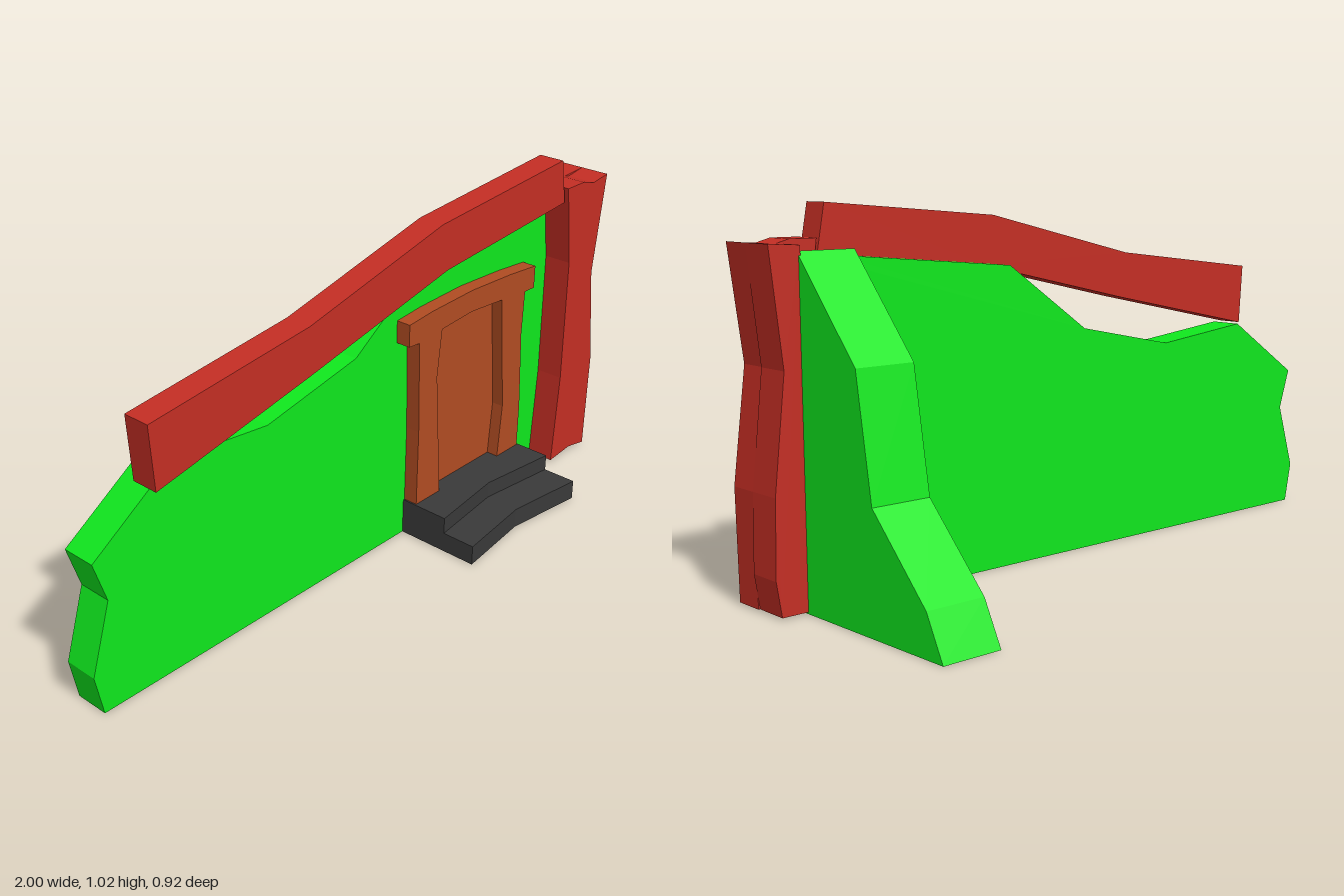
import * as THREE from 'three';

const paint = (color) => new THREE.MeshStandardMaterial({ color, flatShading: true, side: THREE.DoubleSide });

// Flat slab cut from an outline, running from z0 to z1
function slab(name, outline, z0, z1, material, hole) {
  const toPoints = (list) => list.map(([x, y]) => new THREE.Vector2(x, y));
  const shape = new THREE.Shape(toPoints(outline));
  if (hole) shape.holes.push(new THREE.Path(toPoints(hole)));
  const geometry = new THREE.ExtrudeGeometry(shape, { depth: z1 - z0, bevelEnabled: false });
  geometry.translate(0, 0, z0);
  const mesh = new THREE.Mesh(geometry, material);
  mesh.name = name;
  return mesh;
}

// Hollow steps: a stepped section swept over three stations, dipped in the middle
function steps(material) {
  const stations = [[0.17, 0], [0.42, 0.03], [0.675, 0]];
  const section = (dip) => [[0, 0.46 - dip], [0.06, 0.46 - dip], [0.06, 0.355 - dip], [0.11, 0.355 - dip], [0.11, 0.2]];
  const positions = [], index = [];
  for (const [x, dip] of stations) {
    for (const [y, z] of section(dip)) positions.push(x, y, z);
  }
  for (let s = 0; s < 2; s++) {
    for (let i = 0; i < 4; i++) {
      const a = s * 5 + i, b = a + 5;
      index.push(a, b, b + 1, a, b + 1, a + 1);
    }
  }
  const geometry = new THREE.BufferGeometry();
  geometry.setAttribute('position', new THREE.Float32BufferAttribute(positions, 3));
  geometry.setIndex(index);
  geometry.computeVertexNormals();
  const group = new THREE.Group();
  group.name = 'steps';
  const treads = new THREE.Mesh(geometry, material);
  treads.name = 'treadsAndRisers';
  group.add(treads);

  // Stepped side cheeks
  const cheek = new THREE.Shape([...section(0), [0, 0.2]].map(([y, z]) => new THREE.Vector2(-z, y)));
  for (const [x, name] of [[0.17, 'rightCheek'], [0.675, 'leftCheek']]) {
    const mesh = new THREE.Mesh(new THREE.ShapeGeometry(cheek), material);
    mesh.rotation.y = Math.PI / 2;
    mesh.position.x = x;
    mesh.name = name;
    group.add(mesh);
  }
  return group;
}

export function createModel() {
  const model = new THREE.Group();
  model.name = 'ruinedHouseCorner';
  const green = paint(0x10e81e), red = paint(0xc42e24), orange = paint(0xb04c22), dark = paint(0x3a3a3a);

  // Broken front wall
  model.add(slab('frontWall', [
    [-0.975, 0], [0.91, 0], [0.91, 0.91], [0.79, 0.895], [0.23, 0.845], [-0.05, 0.65],
    [-0.39, 0.58], [-0.72, 0.615], [-0.98, 0.44], [-0.94, 0.32], [-1, 0.12],
  ], 0.1, 0.2, green));

  // Broken side wall, turned so its outline runs backwards
  const sideWall = slab('sideWall', [
    [-0.1, 0], [0.46, 0], [0.4, 0.115], [0.195, 0.32], [0.14, 0.645], [-0.1, 0.91],
  ], 0.74, 0.91, green);
  sideWall.rotation.y = Math.PI / 2;
  model.add(sideWall);

  // Bent roof beam
  model.add(slab('roofBeam', [
    [-0.835, 0.605], [-0.29, 0.72], [0.24, 0.84], [0.79, 0.89],
    [0.765, 1.025], [0.21, 0.98], [-0.31, 0.855], [-0.85, 0.79],
  ], 0.195, 0.275, red));

  // Corner post, L-shaped in plan
  const post = new THREE.Group();
  post.name = 'cornerPost';
  post.add(slab('postFront', [
    [0.81, 0.01], [0.91, 0.02], [0.99, 0.005], [0.995, 0.31], [0.955, 0.62], [0.995, 0.93],
    [0.925, 0.92], [0.87, 0.935], [0.79, 0.935], [0.825, 0.69], [0.828, 0.3],
  ], 0.195, 0.285, red));
  post.add(slab('postSide', [
    [0.905, 0.005], [0.985, 0.005], [1, 0.1], [0.995, 0.31], [0.96, 0.62], [0.995, 0.93], [0.905, 0.925],
  ], 0.09, 0.195, red));
  model.add(post);

  // Door frame with lintel, and the recessed door
  const opening = [
    [0.285, 0.08], [0.25, 0.5], [0.265, 0.645], [0.4, 0.655], [0.545, 0.645], [0.58, 0.28], [0.565, 0.08],
  ];
  model.add(slab('doorFrame', [
    [0.175, 0], [0.67, 0], [0.67, 0.25], [0.655, 0.5], [0.66, 0.635], [0.705, 0.635], [0.705, 0.705],
    [0.58, 0.715], [0.4, 0.722], [0.22, 0.715], [0.12, 0.705], [0.12, 0.638], [0.165, 0.635], [0.175, 0.35],
  ], 0.2, 0.245, orange, opening));
  model.add(slab('door', opening, 0.195, 0.208, orange));

  model.add(steps(dark));
  return model;
}
